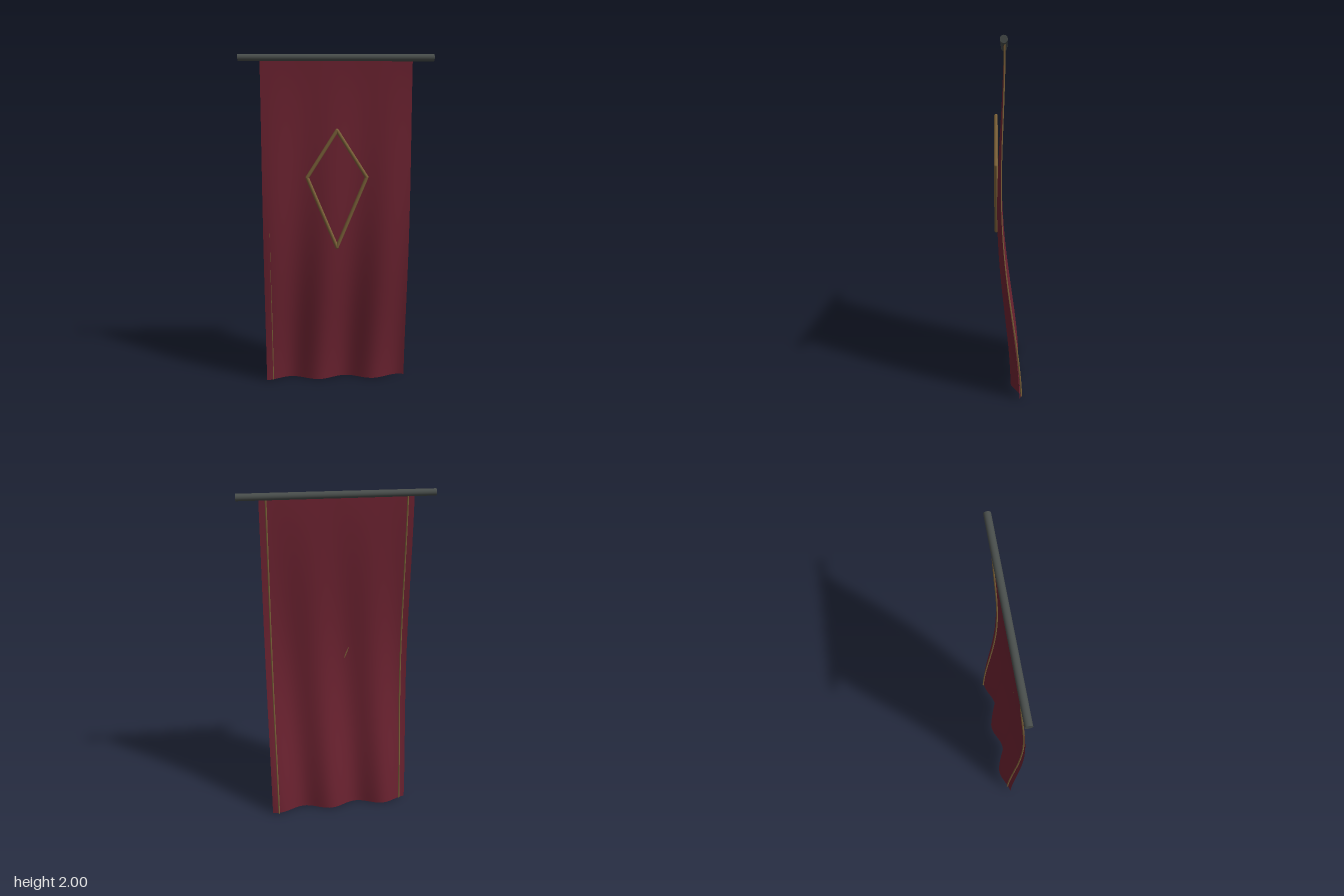
import * as THREE from 'three';

const TOP = 1.965;

// depth of the hanging cloth: a slow sway plus folds that deepen towards the hem
function clothZ(x, y) {
  const t = (TOP - y) / TOP;
  const sway = 0.021 + 0.066 * t * Math.sin(1.5 * Math.PI * t);
  const foldX = -0.11 + 0.107 * (1 - t);
  return sway + 0.0275 * t * Math.cos((2 * Math.PI * (x - foldX)) / 0.34);
}

export function createModel() {
  const group = new THREE.Group();
  const red = new THREE.MeshStandardMaterial({ color: 0x6b2230, side: THREE.DoubleSide });
  const gold = new THREE.MeshStandardMaterial({ color: 0x7a6038 });
  const iron = new THREE.MeshStandardMaterial({ color: 0x484d4b });

  const add = (parent, name, geometry, material) => {
    const mesh = new THREE.Mesh(geometry, material);
    mesh.name = name;
    parent.add(mesh);
    return mesh;
  };

  // crossbar
  const rod = add(group, 'rod', new THREE.CylinderGeometry(0.02, 0.02, 1.12, 24), iron);
  rod.rotation.z = Math.PI / 2;
  rod.position.set(0, 1.98, 0.02);

  // rippled cloth
  const cloth = new THREE.PlaneGeometry(0.874, TOP, 48, 48);
  cloth.translate(0, TOP / 2, 0);
  const p = cloth.attributes.position;
  for (let i = 0; i < p.count; i++) p.setZ(i, clothZ(p.getX(i), p.getY(i)));
  cloth.computeVertexNormals();
  add(group, 'cloth', cloth, red);

  // braid sewn along both long edges, on the back of the cloth
  for (const side of [-1, 1]) {
    const points = [];
    for (let i = 0; i <= 24; i++) {
      const t = i / 24;
      const y = TOP * (1 - t);
      const offset = side < 0 ? -0.006 + 0.002 * t : -0.0055;
      points.push(new THREE.Vector3(side * 0.398, y, clothZ(side * 0.398, y) + offset));
    }
    const braid = new THREE.TubeGeometry(new THREE.CatmullRomCurve3(points), 64, 0.005, 8);
    add(group, side < 0 ? 'rightTrim' : 'leftTrim', braid, gold);
  }

  // diamond emblem of four round bars
  const emblem = new THREE.Group();
  emblem.name = 'diamondEmblem';
  emblem.position.z = 0.068;
  group.add(emblem);
  const corners = [[0, 1.572], [0.174, 1.3], [0, 0.882], [-0.174, 1.3]].map(([x, y]) => new THREE.Vector3(x, y, 0));
  corners.forEach((a, i) => {
    const b = corners[(i + 1) % 4];
    const bar = add(emblem, 'emblemBar', new THREE.CylinderGeometry(0.0105, 0.0105, a.distanceTo(b), 12), gold);
    bar.position.copy(a).lerp(b, 0.5);
    bar.quaternion.setFromUnitVectors(new THREE.Vector3(0, 1, 0), b.clone().sub(a).normalize());
    add(emblem, 'emblemCorner', new THREE.SphereGeometry(0.0105, 12, 8), gold).position.copy(a);
  });

  return group;
}
